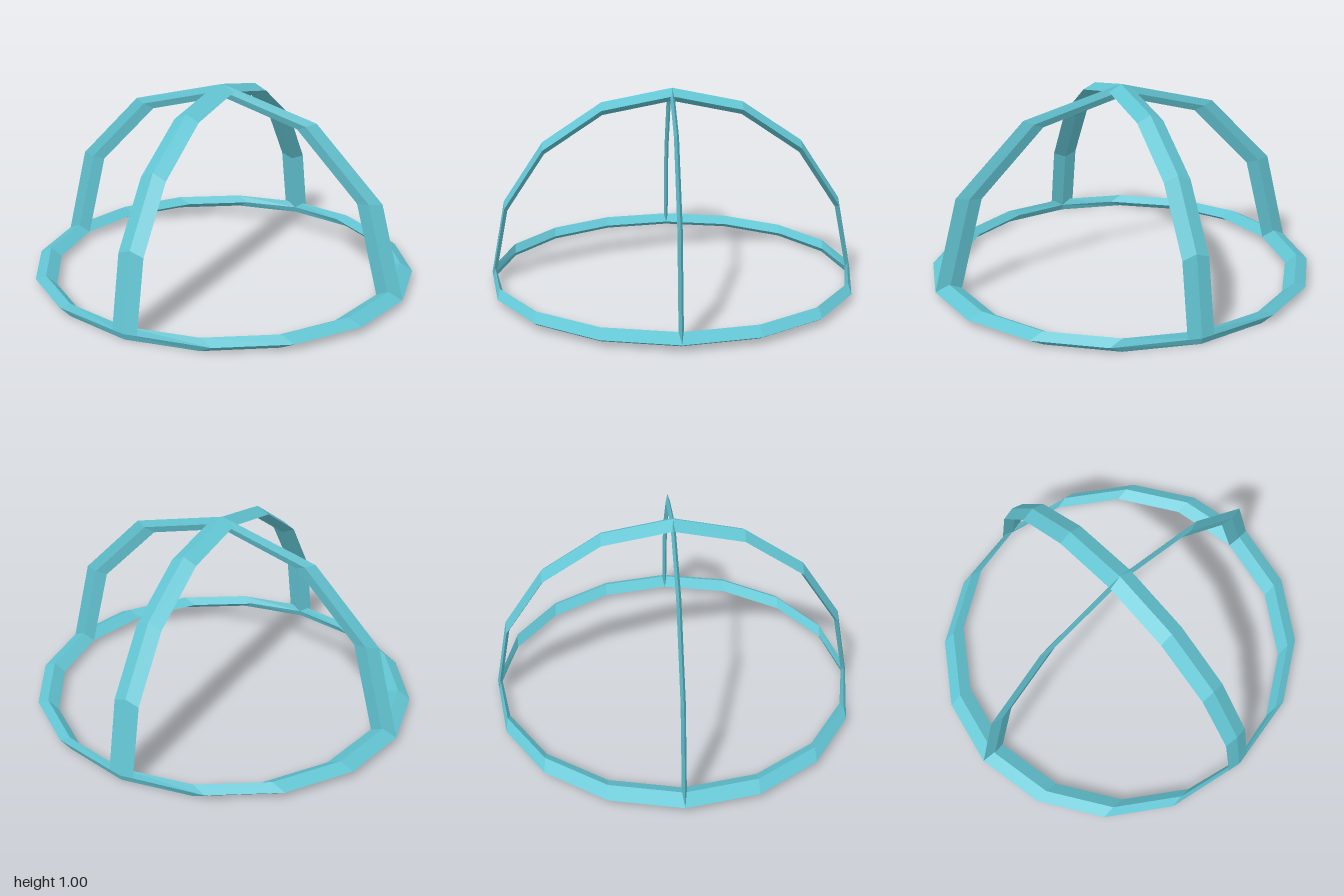
import * as THREE from 'three';

const R = 0.9325;                                    // centre-line radius
const HALF = new THREE.Vector3(0.0675, 0.0335, 0.012); // bar half-thickness along x, y, z
const BASE_Y = HALF.y;

// Faceted diamond-section bar following an arc from axis u towards axis v.
function arcBar(name, u, v, sweep, segments, material) {
  const w = u.clone().cross(v);
  const side = w.clone().multiply(HALF);
  const sections = [];
  for (let i = 0; i <= segments; i++) {
    const a = (i / segments) * sweep;
    const n = u.clone().multiplyScalar(Math.cos(a)).addScaledVector(v, Math.sin(a));
    const c = n.clone().multiplyScalar(R);
    // Thickness differs per axis, so the outer corner is the extreme point along n.
    const out = n.clone().multiply(HALF);
    const h = out.length();
    out.multiply(HALF).divideScalar(h);
    sections.push([
      c.clone().add(out), c.clone().sub(side),
      c.clone().sub(out), c.clone().add(side),
    ]);
  }

  const pos = [];
  const quad = (a, b, c, d) => {
    for (const p of [a, b, c, a, c, d]) pos.push(p.x, p.y, p.z);
  };
  for (let i = 0; i < segments; i++) {
    const s = sections[i], t = sections[i + 1];
    for (let k = 0; k < 4; k++) {
      const m = (k + 1) % 4;
      quad(s[k], s[m], t[m], t[k]);
    }
  }
  // End caps for open arches
  if (sweep < Math.PI * 1.9) {
    const s = sections[0], e = sections[segments];
    quad(s[3], s[2], s[1], s[0]);
    quad(e[0], e[1], e[2], e[3]);
  }

  const geometry = new THREE.BufferGeometry();
  geometry.setAttribute('position', new THREE.Float32BufferAttribute(pos, 3));
  geometry.computeVertexNormals();
  const mesh = new THREE.Mesh(geometry, material);
  mesh.name = name;
  mesh.position.y = BASE_Y;
  return mesh;
}

export function createModel() {
  const group = new THREE.Group();
  group.name = 'domeFrame';
  const material = new THREE.MeshStandardMaterial({ color: 0x62c4d2, flatShading: true });
  const X = new THREE.Vector3(1, 0, 0);
  const Y = new THREE.Vector3(0, 1, 0);
  const Z = new THREE.Vector3(0, 0, 1);

  group.add(
    arcBar('baseRing', X, Z, Math.PI * 2, 16, material),
    arcBar('sideToSideArch', X, Y, Math.PI, 6, material),
    arcBar('frontToBackArch', Z, Y, Math.PI, 8, material),
  );
  return group;
}
